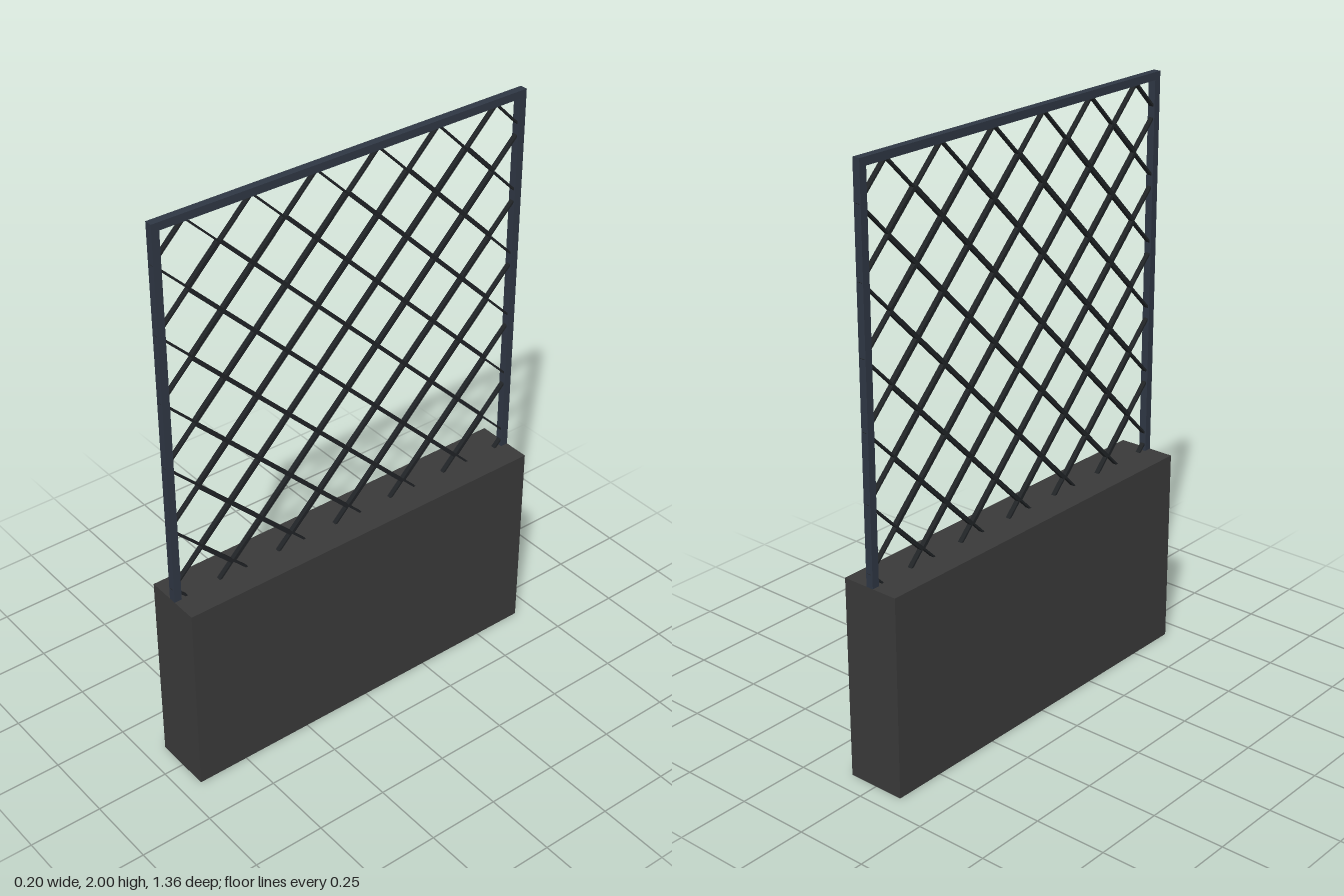
import * as THREE from 'three';

const WALL = { width: 0.205, height: 0.69, length: 1.36 };
const BAR = 0.026;      // square frame bar
const R = 0.1135;       // half diagonal of a lattice diamond
const WIRE = 0.009;     // diamond rim, measured along its diagonal
const DEPTH = 0.016;    // lattice thickness

function diamond(path, r) {
  path.moveTo(r, 0);
  path.lineTo(0, r);
  path.lineTo(-r, 0);
  path.lineTo(0, -r);
  path.closePath();
  return path;
}

export function createModel() {
  const model = new THREE.Group();
  model.name = 'latticeScreen';
  const wallMat = new THREE.MeshStandardMaterial({ color: 0x3a3a3a });
  const frameMat = new THREE.MeshStandardMaterial({ color: 0x2f3744 });
  const wireMat = new THREE.MeshStandardMaterial({ color: 0x202326 });

  function box(name, size, pos, mat) {
    const mesh = new THREE.Mesh(new THREE.BoxGeometry(...size), mat);
    mesh.name = name;
    mesh.position.set(...pos);
    model.add(mesh);
  }

  // Solid base
  box('baseWall', [WALL.width, WALL.height, WALL.length], [0, WALL.height / 2, 0], wallMat);

  // Two posts and the rail across their tops
  const postHeight = 2 - BAR - WALL.height;
  for (const side of [-1, 1]) {
    box(side > 0 ? 'frontPost' : 'backPost', [BAR, postHeight, BAR],
      [0, WALL.height + postHeight / 2, side * (WALL.length - BAR) / 2], frameMat);
  }
  box('topRail', [BAR, BAR, WALL.length], [0, 2 - BAR / 2, 0], frameMat);

  // Lattice of diamond rings; neighbours touch, so shared sides are twice as thick
  const shape = diamond(new THREE.Shape(), R);
  shape.holes.push(diamond(new THREE.Path(), R - WIRE));
  const ring = new THREE.ExtrudeGeometry(shape, { depth: DEPTH, bevelEnabled: false });
  ring.translate(0, 0, -DEPTH / 2).rotateY(Math.PI / 2);

  const lattice = new THREE.Group();
  lattice.name = 'lattice';
  for (let row = 0; row < 11; row++) {
    const count = row % 2 === 0 ? 6 : 5;
    for (let i = 0; i < count; i++) {
      const mesh = new THREE.Mesh(ring, wireMat);
      mesh.name = 'latticeDiamond';
      mesh.position.set(0, 1.87 - row * R, (i - (count - 1) / 2) * 2 * R);
      lattice.add(mesh);
    }
  }
  model.add(lattice);
  return model;
}
